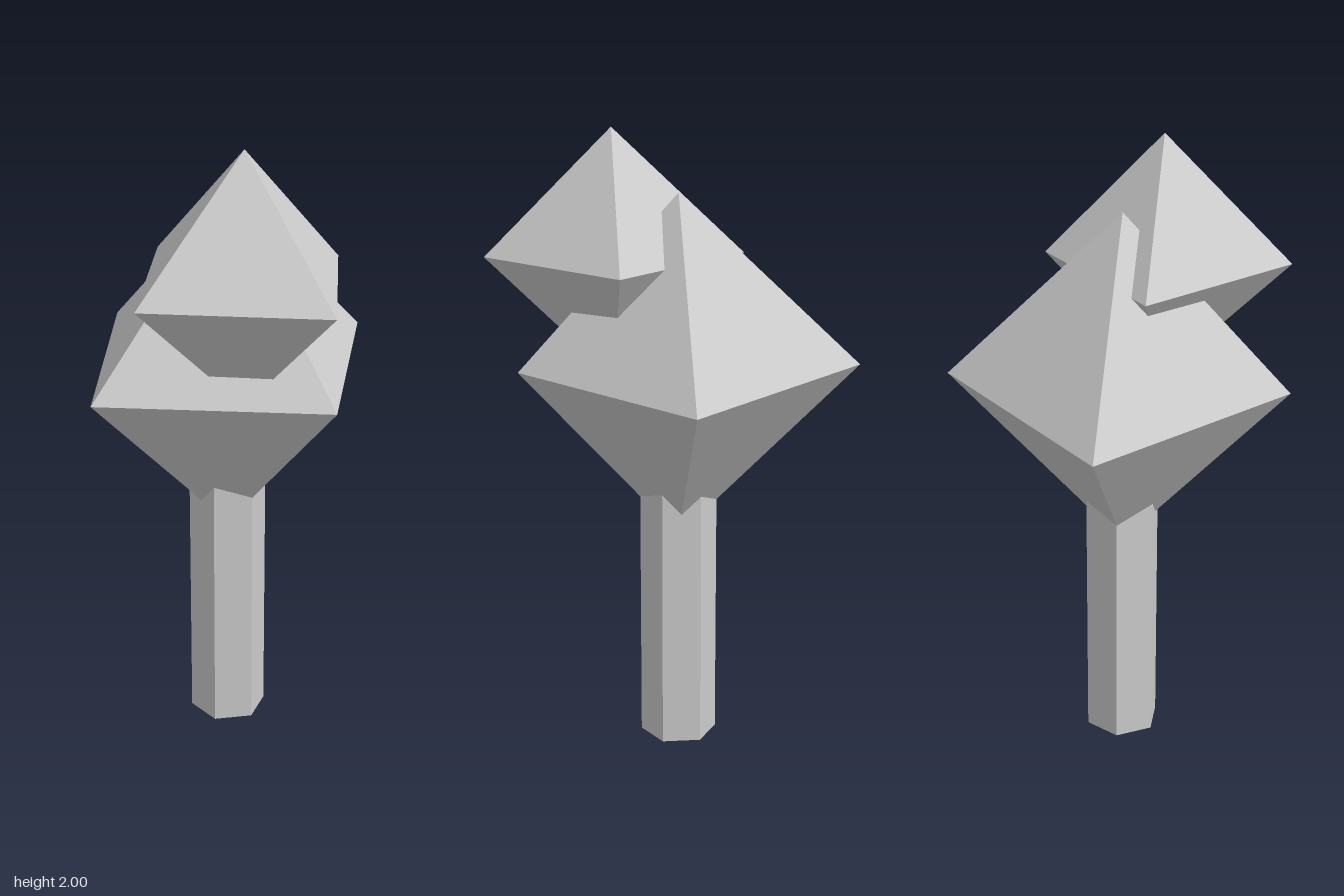
import * as THREE from 'three';

const material = new THREE.MeshStandardMaterial({ color: 0xcccccc, flatShading: true });

// Octahedral clump of leaves whose six points lie at their own distances from the centre
function crown(name, centre, plus, minus) {
  const geometry = new THREE.OctahedronGeometry(1);
  const position = geometry.attributes.position;
  for (let i = 0; i < position.count; i++) {
    for (let axis = 0; axis < 3; axis++) {
      const v = position.getComponent(i, axis);
      position.setComponent(i, axis, v * (v > 0 ? plus[axis] : minus[axis]));
    }
  }
  geometry.computeVertexNormals();
  const mesh = new THREE.Mesh(geometry, material);
  mesh.name = name;
  mesh.position.set(...centre);
  return mesh;
}

export function createModel() {
  const tree = new THREE.Group();
  tree.name = 'tree';

  // Hexagonal trunk, with corners to the left and right, ending inside the lower crown
  const height = 0.92;
  const trunk = new THREE.Mesh(
    new THREE.CylinderGeometry(0.124, 0.124, height, 6, 1, false, Math.PI / 2),
    material
  );
  trunk.name = 'trunk';
  trunk.position.set(-0.012, height / 2, 0.015);
  tree.add(trunk);

  // Large lower crown and the smaller one leaning out of it
  tree.add(crown('lowerCrown', [-0.012, 1.25, 0.015], [0.507, 0.56, 0.525], [0.583, 0.56, 0.56]));
  tree.add(crown('upperCrown', [0.188, 1.6, 0.115], [0.402, 0.4, 0.403], [0.418, 0.4, 0.376]));

  return tree;
}
